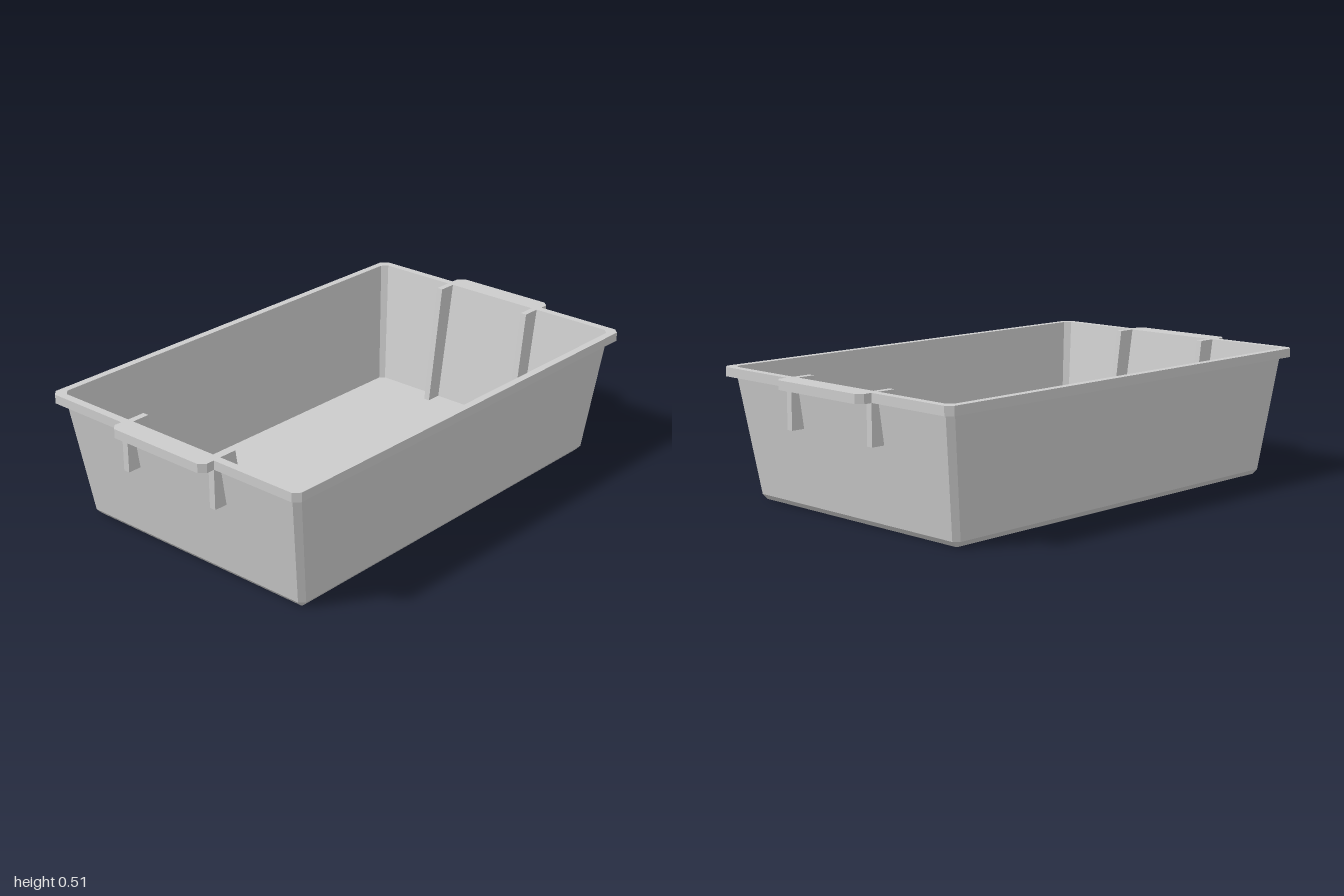
import * as THREE from 'three';

const material = new THREE.MeshStandardMaterial({ color: 0xcccccc, flatShading: true });

// Rectangle outline with chamfered corners, as [x, z] pairs
function outline(hx, hz, c) {
  return [
    [hx, hz - c], [hx - c, hz], [c - hx, hz], [-hx, hz - c],
    [-hx, c - hz], [c - hx, -hz], [hx - c, -hz], [hx, c - hz],
  ];
}

// Flat-shaded skin through a stack of outlines [hx, hz, chamfer, y], capped at both ends
function loft(sections) {
  const rings = sections.map(([hx, hz, c, y]) => outline(hx, hz, c).map(([x, z]) => [x, y, z]));
  const pos = [];
  const tri = (a, b, c) => pos.push(...a, ...b, ...c);
  for (let i = 0; i < rings.length - 1; i++) {
    for (let k = 0; k < 8; k++) {
      const n = (k + 1) % 8;
      const [a, b, c, d] = [rings[i][k], rings[i][n], rings[i + 1][n], rings[i + 1][k]];
      tri(a, c, b);
      tri(a, d, c);
    }
  }
  const first = rings[0], last = rings[rings.length - 1];
  for (let k = 1; k < 7; k++) {
    tri(first[0], first[k], first[k + 1]);
    tri(last[0], last[k + 1], last[k]);
  }
  const geo = new THREE.BufferGeometry();
  geo.setAttribute('position', new THREE.Float32BufferAttribute(pos, 3));
  geo.computeVertexNormals();
  return geo;
}

const toPoints = (pairs) => pairs.map(([x, y]) => new THREE.Vector2(x, y));

export function createModel() {
  const group = new THREE.Group();
  const add = (geo, name) => {
    const mesh = new THREE.Mesh(geo, material);
    mesh.name = name;
    group.add(mesh);
    return mesh;
  };

  // Tapered tub: up the outside, over the edge, down the inside to the floor
  add(loft([
    [0.825, 0.52, 0.002, 0],
    [0.845, 0.54, 0.02, 0.022],
    [0.914, 0.587, 0.022, 0.476],
    [0.913, 0.586, 0.022, 0.51],
    [0.83, 0.525, 0.018, 0.022],
  ]), 'tub');

  // Flat rim with a grip tab on each end
  const quarter = [[1, 0.208], [0.978, 0.232], [0.945, 0.232], [0.945, 0.592], [0.922, 0.616]];
  const mirror = (sx, sy) => quarter.map(([x, y]) => [x * sx, y * sy]);
  const rimShape = new THREE.Shape(toPoints([
    ...mirror(1, 1), ...mirror(-1, 1).reverse(),
    ...mirror(-1, -1), ...mirror(1, -1).reverse(),
  ]));
  rimShape.holes.push(new THREE.Path(toPoints(outline(0.913, 0.586, 0.022))));
  const rimGeo = new THREE.ExtrudeGeometry(rimShape, { depth: 0.035, bevelEnabled: false });
  rimGeo.rotateX(-Math.PI / 2).translate(0, 0.475, 0);
  add(rimGeo, 'rim');

  // Ribs crossing the end walls: sloped inside, short bracket outside
  const ribShape = new THREE.Shape(toPoints([
    [0.765, 0.015], [0.835, 0.015], [0.885, 0.32], [0.945, 0.32], [0.945, 0.51], [0.84, 0.51],
  ]));
  const ribGeo = new THREE.ExtrudeGeometry(ribShape, { depth: 0.026, bevelEnabled: false });
  ribGeo.translate(0, 0, -0.013);
  for (const side of [1, -1]) {
    for (const z of [0.218, -0.218]) {
      const rib = add(ribGeo, (side > 0 ? 'left' : 'right') + (z > 0 ? 'Front' : 'Back') + 'Rib');
      rib.position.z = z;
      if (side < 0) rib.rotation.y = Math.PI;
    }
  }
  return group;
}
